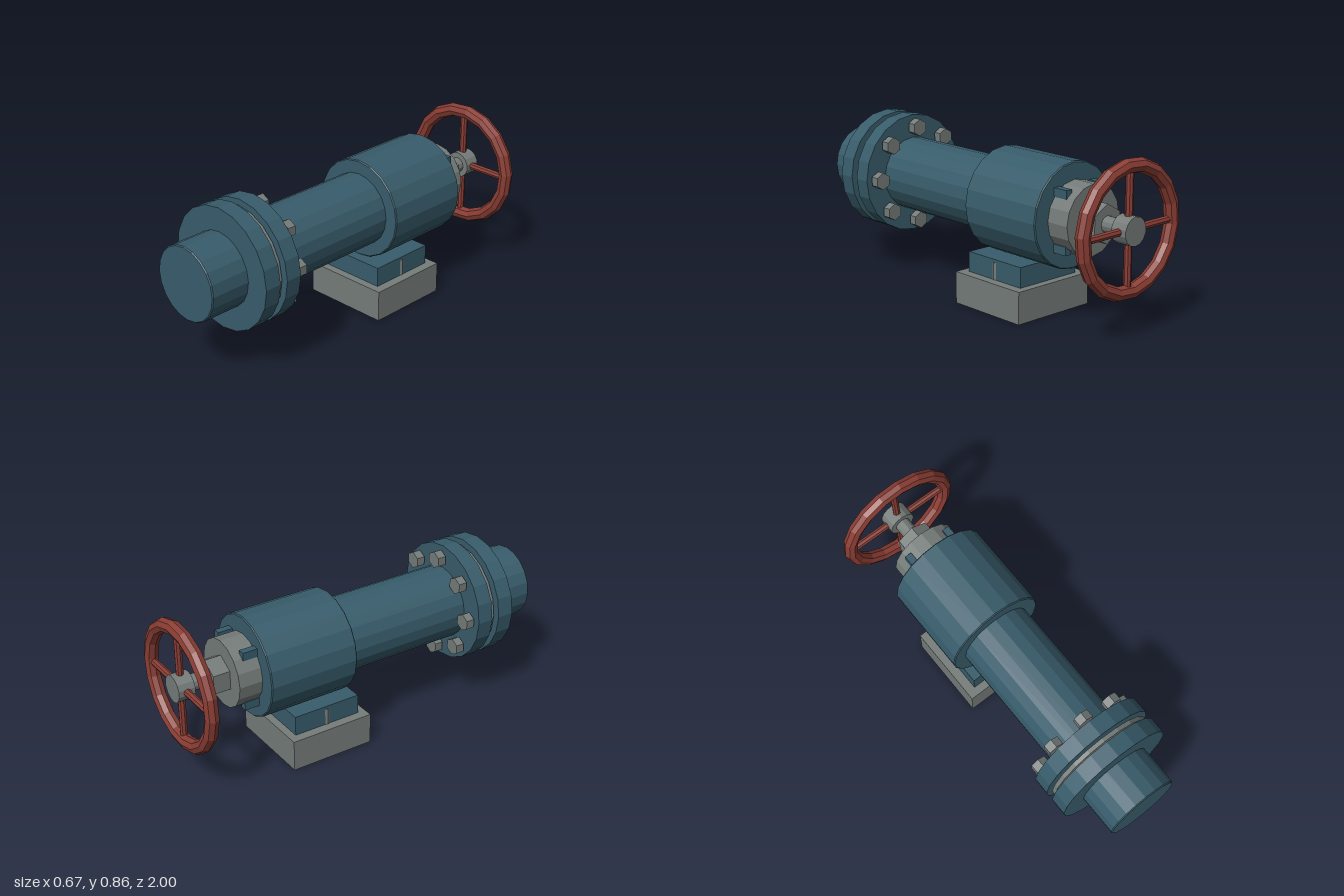
import * as THREE from 'three';

const AXIS_Y = 0.523;
const paint = (name, color) => {
  const m = new THREE.MeshStandardMaterial({ color });
  m.name = name;
  m.flatShading = true;
  return m;
};

export function createModel() {
  const teal = paint('teal paint', 0x385c6b);
  const steel = paint('grey steel', 0x757c79);
  const red = paint('red paint', 0x8a3d34);

  const model = new THREE.Group();
  model.name = 'gateValve';

  const add = (name, geometry, material, x = 0, y = 0, z = 0, parent = model) => {
    const mesh = new THREE.Mesh(geometry, material);
    mesh.name = name;
    mesh.position.set(x, y, z);
    parent.add(mesh);
    return mesh;
  };

  // Solid of revolution along z with slightly bevelled rims
  const barrel = (name, r, z0, z1, sides, material, bevel = 0, x = 0, y = AXIS_Y) => {
    const h = (z1 - z0) / 2;
    const profile = bevel
      ? [[0, -h], [r - bevel, -h], [r, -h + bevel], [r, h - bevel], [r - bevel, h], [0, h]]
      : null;
    const geometry = profile
      ? new THREE.LatheGeometry(profile.map(p => new THREE.Vector2(...p)), sides)
      : new THREE.CylinderGeometry(r, r, h * 2, sides);
    geometry.rotateX(Math.PI / 2);
    return add(name, geometry, material, x, y, (z0 + z1) / 2);
  };

  // Pipe, flange pair and gasket
  barrel('pipe', 0.191, -0.2, 1, 20, teal, 0.005);
  barrel('frontFlange', 0.312, 0.699, 0.787, 20, teal);
  barrel('rearFlange', 0.312, 0.571, 0.657, 20, teal);
  barrel('gasket', 0.286, 0.666, 0.688, 20, steel);

  // Ring of hexagonal bolt heads behind the flange
  for (let i = 0; i < 8; i++) {
    const a = i * Math.PI / 4;
    barrel('flangeBolt', 0.045, 0.511, 0.556, 6, steel, 0,
      0.25 * Math.cos(a), AXIS_Y + 0.25 * Math.sin(a));
  }

  // Valve body, gland and stem
  barrel('valveBody', 0.262, -0.615, -0.136, 20, teal, 0.005);
  barrel('gland', 0.175, -0.738, -0.6, 16, steel);
  barrel('glandNut', 0.097, -0.826, -0.73, 6, steel);
  barrel('stem', 0.041, -0.95, -0.8, 12, steel);
  for (const sx of [-1, 1]) {
    for (const sy of [-1, 1]) {
      add('glandLug', new THREE.BoxGeometry(0.037, 0.043, 0.1), teal,
        sx * 0.117, AXIS_Y + sy * 0.135, -0.643);
    }
  }

  // Handwheel: faceted rim, crossed spokes and hub
  const wheel = new THREE.Group();
  wheel.name = 'handwheel';
  wheel.position.set(0, AXIS_Y, -0.956);
  model.add(wheel);
  const rim = new THREE.TorusGeometry(0.3, 0.036, 8, 18);
  rim.rotateZ(4 * Math.PI / 180);
  add('wheelRim', rim, red, 0, 0, 0, wheel);
  for (const turn of [0, Math.PI / 2]) {
    const spoke = add('wheelSpoke', new THREE.CylinderGeometry(0.019, 0.019, 0.59, 8), red, 0, 0, 0, wheel);
    spoke.rotation.z = turn;
  }
  barrel('wheelHub', 0.07, -1, -0.914, 14, steel);

  // Support saddle, side pins and foot
  add('foot', new THREE.BoxGeometry(0.474, 0.163, 0.449), steel, 0, 0.0815, -0.265);
  add('saddle', new THREE.BoxGeometry(0.376, 0.107, 0.366), teal, 0, 0.2125, -0.266);
  for (const sx of [-1, 1]) {
    add('saddlePin', new THREE.CylinderGeometry(0.023, 0.023, 0.092, 8), steel, sx * 0.17, 0.204, -0.265);
  }

  return model;
}
